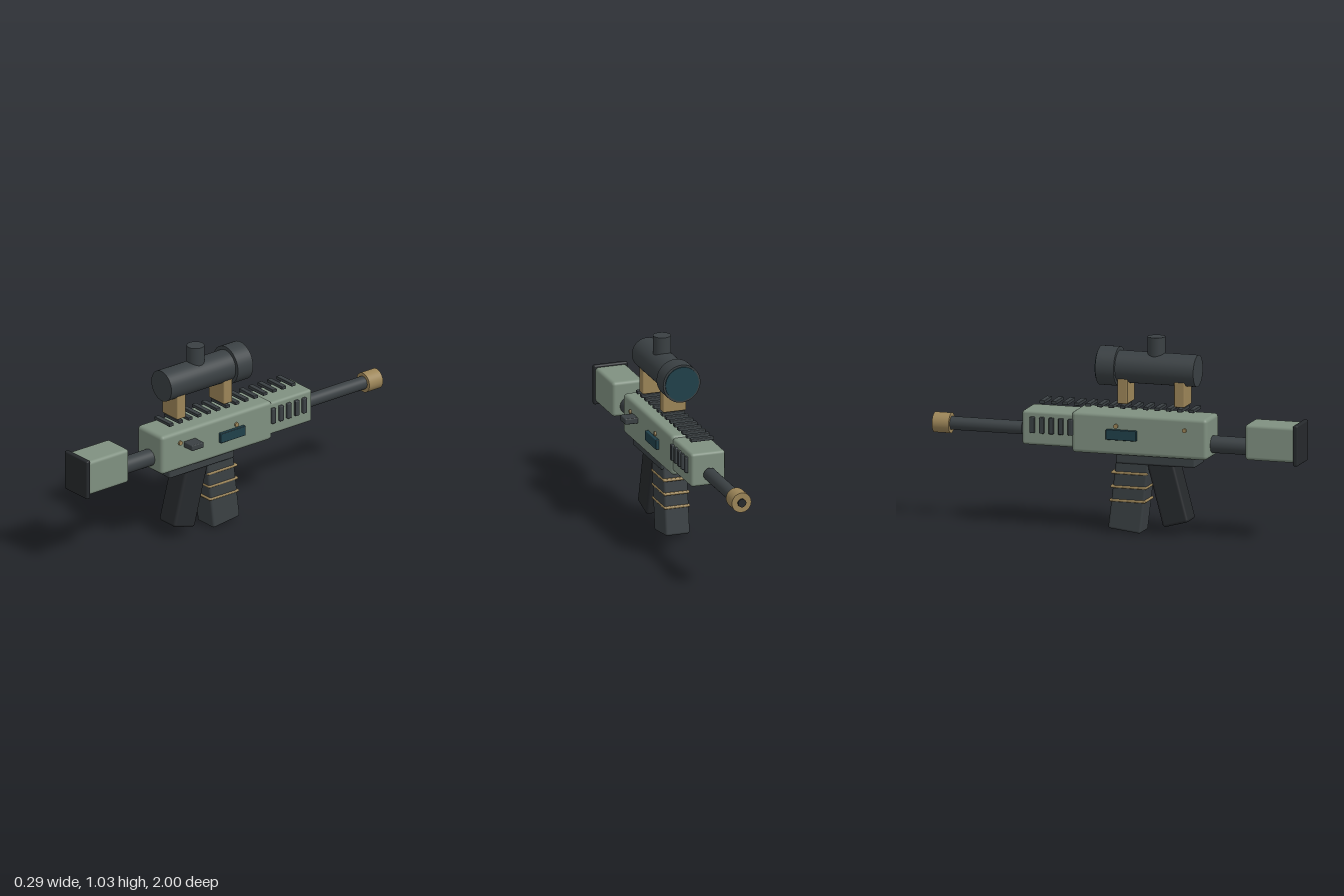
import * as THREE from 'three';
import { RoundedBoxGeometry } from 'three/addons/geometries/RoundedBoxGeometry.js';

const CX = -0.027; // centre line of the body

export function createModel() {
  const model = new THREE.Group();
  const mat = (color) => new THREE.MeshStandardMaterial({ color });
  const green = mat(0x7f9080), grey = mat(0x3a4043), black = mat(0x26292c);
  const brass = mat(0x9c8558), teal = mat(0x20404a);

  const add = (name, geometry, material, x, y, z) => {
    const mesh = new THREE.Mesh(geometry, material);
    mesh.name = name;
    mesh.position.set(x, y, z);
    model.add(mesh);
    return mesh;
  };
  // rounded box given by its y and z extents
  const box = (name, material, w, [y0, y1], [z0, z1], r, x = CX) =>
    add(name, new RoundedBoxGeometry(w, y1 - y0, z1 - z0, 3, r), material, x, (y0 + y1) / 2, (z0 + z1) / 2);
  // cylinder along z
  const rod = (name, material, r, y, z0, z1) => {
    const g = new THREE.CylinderGeometry(r, r, z1 - z0, 40).rotateX(Math.PI / 2);
    return add(name, g, material, CX, y, (z0 + z1) / 2);
  };

  // Main body
  box('receiver', green, 0.205, [0.415, 0.63], [-0.22, 0.512], 0.02);
  box('handguard', green, 0.188, [0.438, 0.618], [-0.49, -0.2], 0.015);
  box('lowerReceiver', grey, 0.153, [0.367, 0.44], [0.01, 0.44], 0.01);

  // Barrel
  rod('barrel', grey, 0.035, 0.507, -0.91, -0.512);
  rod('muzzle', brass, 0.053, 0.507, -0.99, -0.9);
  rod('bore', black, 0.022, 0.507, -1, -0.97);

  // Stock
  rod('stockTube', grey, 0.045, 0.484, 0.48, 0.73);
  box('stock', green, 0.172, [0.428, 0.616], [0.712, 0.982], 0.018);
  box('buttPlate', black, 0.185, [0.413, 0.626], [0.973, 1], 0.008);

  // Grip and magazine, tilted apart
  const grip = add('grip', new RoundedBoxGeometry(0.132, 0.36, 0.143, 3, 0.015), black, CX, 0.233, 0.285);
  grip.rotation.x = -0.26;
  const magazine = add('magazine', new RoundedBoxGeometry(0.134, 0.42, 0.178, 3, 0.012), grey, CX, 0.219, 0.078);
  magazine.rotation.x = 0.12;
  [[0.316, 0.081], [0.242, 0.077], [0.17, 0.072]].forEach(([y, z]) =>
    box('magazineBand', brass, 0.142, [y - 0.007, y + 0.007], [z - 0.098, z + 0.098], 0.006));

  // Top rail slats
  for (let i = 0; i < 14; i++) {
    const z = 0.415 - i * 0.062;
    box('railSlat', grey, 0.126, [0.652, 0.669], [z - 0.014, z + 0.014], 0.003);
  }

  // Sight
  rod('scopeTube', grey, 0.083, 0.863, -0.02, 0.432);
  rod('scopeBell', grey, 0.102, 0.863, -0.092, 0.008);
  rod('scopeLens', teal, 0.091, 0.863, -0.098, -0.08);
  add('scopeTurret', new THREE.CylinderGeometry(0.046, 0.046, 0.1, 32), grey, CX, 0.981, 0.207);
  for (const z of [0.35, 0.042])
    box('scopeMount', brass, 0.126, [0.677, 0.81], [z - 0.028, z + 0.028], 0.006);

  // Details on both flanks
  for (const s of [-1, 1]) {
    for (let i = 0; i < 5; i++) {
      const z = -0.226 - i * 0.0515;
      box('vent', grey, 0.024, [0.503, 0.588], [z - 0.013, z + 0.013], 0.005, CX + s * 0.098);
    }
    box('sidePanel', teal, 0.03, [0.496, 0.55], [-0.03, 0.135], 0.004, CX + s * 0.105);
    for (const z of [0.392, 0.021]) {
      const pin = new THREE.CylinderGeometry(0.012, 0.012, 0.03, 16).rotateZ(Math.PI / 2);
      add('pin', pin, brass, CX + s * 0.096, 0.567, z);
    }
  }

  // Charging handle, on the left flank only
  box('chargingHandle', grey, 0.08, [0.535, 0.566], [0.288, 0.367], 0.005, 0.104);

  return model;
}
